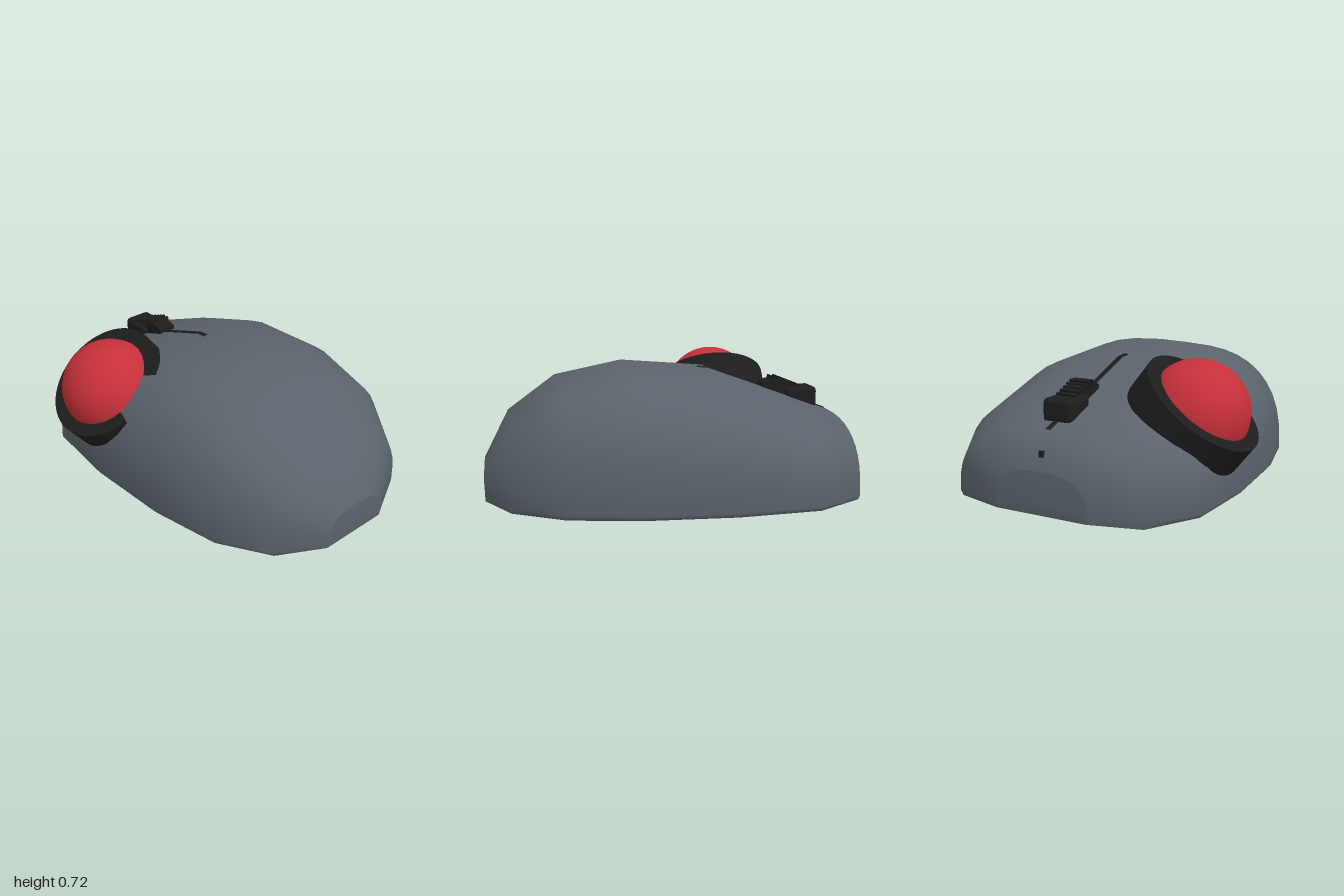
import * as THREE from 'three';
import { RoundedBoxGeometry } from 'three/addons/geometries/RoundedBoxGeometry.js';

const CX = 0.04; // centre line of the shell

// shell stations from front to back: z, half width, top height
const STATIONS = [
  [0.985, 0.2, 0.205], [0.855, 0.445, 0.45], [0.595, 0.61, 0.635], [0.23, 0.69, 0.705],
  [-0.23, 0.72, 0.665], [-0.66, 0.69, 0.51], [-0.92, 0.53, 0.415], [-0.988, 0.26, 0.24],
];

function material(name, color) {
  const m = new THREE.MeshStandardMaterial({ color });
  m.name = name;
  return m;
}

// height of the shell along its centre line
function topAt(z) {
  for (let i = 0; i < STATIONS.length - 1; i++) {
    const [z0, , h0] = STATIONS[i], [z1, , h1] = STATIONS[i + 1];
    if (z <= z0 && z >= z1) return h0 + (h1 - h0) * (z0 - z) / (z0 - z1);
  }
  return 0.2;
}

// one rounded arch, from the +x foot over the top to the -x foot
function archSection([z, w, h]) {
  const pts = [[CX + w * 0.97, 0.025, z]], n = 20, e = 2 / 2.6;
  for (let i = 0; i <= n; i++) {
    const a = Math.PI * i / n, c = Math.cos(a), s = Math.max(0, Math.sin(a));
    pts.push([CX + w * Math.sign(c) * Math.abs(c) ** e, 0.05 + (h - 0.05) * s ** e, z]);
  }
  pts.push([CX - w * 0.97, 0.025, z]);
  return pts;
}

function geometryFrom(points, index) {
  const g = new THREE.BufferGeometry();
  g.setAttribute('position', new THREE.Float32BufferAttribute(points.flat(), 3));
  g.setIndex(index);
  g.computeVertexNormals();
  return g;
}

// strips between neighbouring rows of points
function loft(rows) {
  const m = rows[0].length, index = [];
  for (let i = 0; i < rows.length - 1; i++) {
    for (let j = 0; j < m - 1; j++) {
      const a = i * m + j, b = a + 1, c = a + m, d = c + 1;
      index.push(a, c, b, b, c, d);
    }
  }
  return geometryFrom(rows.flat(), index);
}

// shallow end cap, a fan around a slightly raised centre
function endCap(ring, z, flip) {
  const n = ring.length, index = [];
  for (let j = 0; j < n; j++) {
    const a = j + 1, b = (j + 1) % n + 1;
    index.push(0, flip ? b : a, flip ? a : b);
  }
  return geometryFrom([[CX, 0.1, z], ...ring], index);
}

export function createModel() {
  const model = new THREE.Group();
  model.name = 'trackballMouse';
  const grey = material('slateGrey', 0x5a636b);
  const black = material('black', 0x1d1d1d);
  const red = material('red', 0xc6303a);

  function add(name, geometry, mat, x = 0, y = 0, z = 0, parent = model) {
    const mesh = new THREE.Mesh(geometry, mat);
    mesh.name = name;
    mesh.position.set(x, y, z);
    parent.add(mesh);
    return mesh;
  }

  // shell, underside and end caps
  const rings = STATIONS.map(archSection);
  const last = rings.length - 1;
  add('shell', loft(rings), grey);
  add('underside', loft(rings.map((r) => [r[r.length - 1], r[0]])), grey);
  add('frontCap', endCap(rings[0], 0.995, false), grey);
  add('backCap', endCap(rings[last], -1, true), grey);

  // skid feet
  for (const [name, z] of [['frontFoot', 0.73], ['backFoot', -0.76]]) {
    add(name, new RoundedBoxGeometry(0.72, 0.035, 0.16, 2, 0.008), black, CX, 0.0175, z);
  }

  // ball
  add('ball', new THREE.SphereGeometry(0.263, 48, 32), red, -0.477, 0.455, -0.37);

  // tilted collar, open towards the front
  const axis = new THREE.Vector3(-0.62, 0.785, 0).normalize();
  const across = new THREE.Vector3(axis.y, -axis.x, 0);
  const deg = Math.PI / 180, start = -57 * deg, end = 250 * deg, depth = 0.2;
  const arc = new THREE.Shape();
  arc.absarc(0, 0, 0.33, start, end, false);
  arc.absarc(0, 0, 0.25, end, start, true);
  const collar = add('collar',
    new THREE.ExtrudeGeometry(arc, { depth, bevelEnabled: false, curveSegments: 48 }), black);
  collar.quaternion.setFromRotationMatrix(
    new THREE.Matrix4().makeBasis(across, new THREE.Vector3(0, 0, -1), axis));
  collar.position.set(-0.512, 0.507, -0.37).addScaledVector(axis, -depth);

  // seam between the two buttons, following the shell
  const seamRows = [-0.17, -0.23, -0.45, -0.66, -0.91].map((z) => {
    const y = topAt(z), w = 0.012;
    return [[CX + w, y - 0.01, z], [CX + w, y + 0.005, z], [CX - w, y + 0.005, z], [CX - w, y - 0.01, z]];
  });
  add('buttonSeam', loft(seamRows), black);
  add('seamDot', new THREE.BoxGeometry(0.024, 0.03, 0.02), black, CX, topAt(-0.958), -0.958);

  // scroll wheel: housing, sloped grip and ribs
  const scroll = new THREE.Group();
  scroll.name = 'scrollWheel';
  model.add(scroll);
  add('wheelHousing', new RoundedBoxGeometry(0.16, 0.12, 0.18, 3, 0.025), black, CX, 0.492, -0.75, scroll);
  const side = new THREE.Shape();
  side.moveTo(0.53, 0.53);
  side.lineTo(0.53, 0.578);
  side.quadraticCurveTo(0.6, 0.605, 0.66, 0.592);
  side.lineTo(0.75, 0.55);
  side.lineTo(0.75, 0.45);
  const grip = add('wheelGrip',
    new THREE.ExtrudeGeometry(side, { depth: 0.1, bevelEnabled: false }), black, CX - 0.05, 0, 0, scroll);
  grip.rotation.y = Math.PI / 2; // profile x runs to the back
  for (let i = 0; i < 6; i++) {
    const z = -0.595 - i * 0.029;
    const y = 0.595 - Math.max(0, i - 1) * 0.0115;
    const rib = add('wheelRib', new THREE.BoxGeometry(0.112, 0.03, 0.015), black, CX, y, z, scroll);
    rib.rotation.x = -0.3;
  }
  return model;
}
